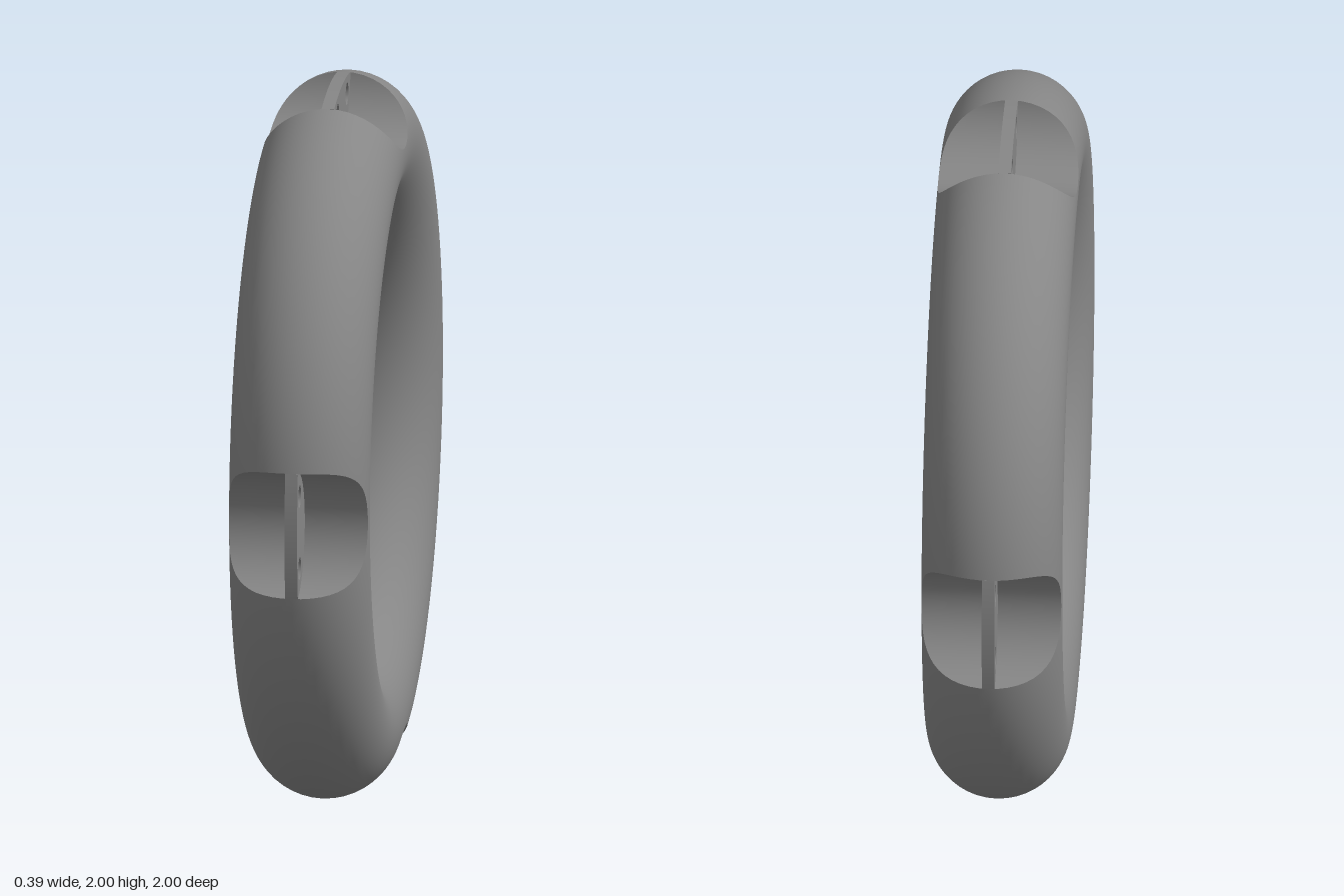
import * as THREE from 'three';

const R = 0.807, r = 0.193;          // ring radius and tube radius
const CUT_C = 1.01, CUT_R = 0.181;   // scallop cylinder: distance from ring axis, radius
const FIN_T = 0.035;

const material = new THREE.MeshStandardMaterial({ color: 0x868686 });

// Half angle the scallop removes from the circle at tube angle phi
function cutAngle(phi) {
  const s = R + r * Math.cos(phi);
  const c = (s * s + CUT_C * CUT_C - CUT_R * CUT_R) / (2 * s * CUT_C);
  return c >= 1 ? 0 : Math.acos(c);
}
// Tube angle where the scallop runs out
const PHI_C = Math.acos((CUT_C - CUT_R - R) / r);

// Surface grid: fn(i, j) returns [position, normal]; i runs along the ring, j across it
function grid(ni, nj, fn) {
  const pos = [], nor = [], index = [];
  for (let i = 0; i <= ni; i++) {
    for (let j = 0; j <= nj; j++) {
      const [p, n] = fn(i, j);
      pos.push(...p);
      nor.push(...n);
      if (i < ni && j < nj) {
        const a = i * (nj + 1) + j, b = a + nj + 1;
        index.push(a, b, a + 1, b, b + 1, a + 1);
      }
    }
  }
  const g = new THREE.BufferGeometry();
  g.setAttribute('position', new THREE.Float32BufferAttribute(pos, 3));
  g.setAttribute('normal', new THREE.Float32BufferAttribute(nor, 3));
  g.setIndex(index);
  return g;
}

// Quarter of the ring, trimmed at both ends by the scallops
function ringQuarter() {
  const phis = [];
  const n = 32, m = 36;
  for (let k = 0; k < n; k++) phis.push(PHI_C * Math.sin((k / n - 0.5) * Math.PI));
  for (let k = 0; k <= m; k++) phis.push(PHI_C + (2 * Math.PI - 2 * PHI_C) * k / m);
  const steps = 28;
  return grid(steps, phis.length - 1, (i, j) => {
    const phi = phis[j], t0 = cutAngle(phi);
    const t = t0 + (Math.PI / 2 - 2 * t0) * i / steps;
    const s = R + r * Math.cos(phi), cp = Math.cos(phi);
    return [
      [r * Math.sin(phi), s * Math.cos(t), s * Math.sin(t)],
      [Math.sin(phi), cp * Math.cos(t), cp * Math.sin(t)],
    ];
  });
}

// Curved floor of a scallop, meeting the trimmed ring edge exactly
function scallopWall() {
  const n = 32, across = 4;
  return grid(n, across, (i, j) => {
    const k = (i / n - 0.5) * 2;                       // -1..1 along z
    const phi = PHI_C * Math.sin((1 - Math.abs(k)) * Math.PI / 2);
    const t = Math.sign(k) * cutAngle(phi);
    const s = R + r * Math.cos(phi);
    const y = s * Math.cos(t), z = s * Math.sin(t);
    const x = r * Math.sin(phi) * (j / across * 2 - 1);
    return [[x, y, z], [0, (CUT_C - y) / CUT_R, -z / CUT_R]];
  });
}

// Thin central plate in the scallop, with two holes
function finGeometry() {
  const t0 = cutAngle(0);
  const a = Math.atan2(Math.cos(t0) - CUT_C, Math.sin(t0));
  const shape = new THREE.Shape();
  shape.absarc(0, 0, 1, Math.PI / 2 - t0, Math.PI / 2 + t0, false);
  shape.absarc(0, CUT_C, CUT_R, -Math.PI - a, a, false);
  for (const side of [-1, 1]) {
    const hole = new THREE.Path();
    hole.absarc(side * 0.103, 0.944, 0.031, 0, Math.PI * 2, true);
    shape.holes.push(hole);
  }
  const g = new THREE.ExtrudeGeometry(shape, { depth: FIN_T, bevelEnabled: false, curveSegments: 32 });
  g.translate(0, 0, -FIN_T / 2);
  g.rotateY(Math.PI / 2);
  return g;
}

export function createModel() {
  const model = new THREE.Group();
  model.name = 'notchedRing';
  const parts = { ringQuarter: ringQuarter(), scallopWall: scallopWall(), lashingFin: finGeometry() };

  // Four identical quarters around the x axis
  for (let q = 0; q < 4; q++) {
    const quarter = new THREE.Group();
    quarter.name = 'quarter' + (q + 1);
    quarter.position.y = 1;
    quarter.rotation.x = q * Math.PI / 2;
    for (const [name, geometry] of Object.entries(parts)) {
      const mesh = new THREE.Mesh(geometry, material);
      mesh.name = name;
      quarter.add(mesh);
    }
    model.add(quarter);
  }
  return model;
}
